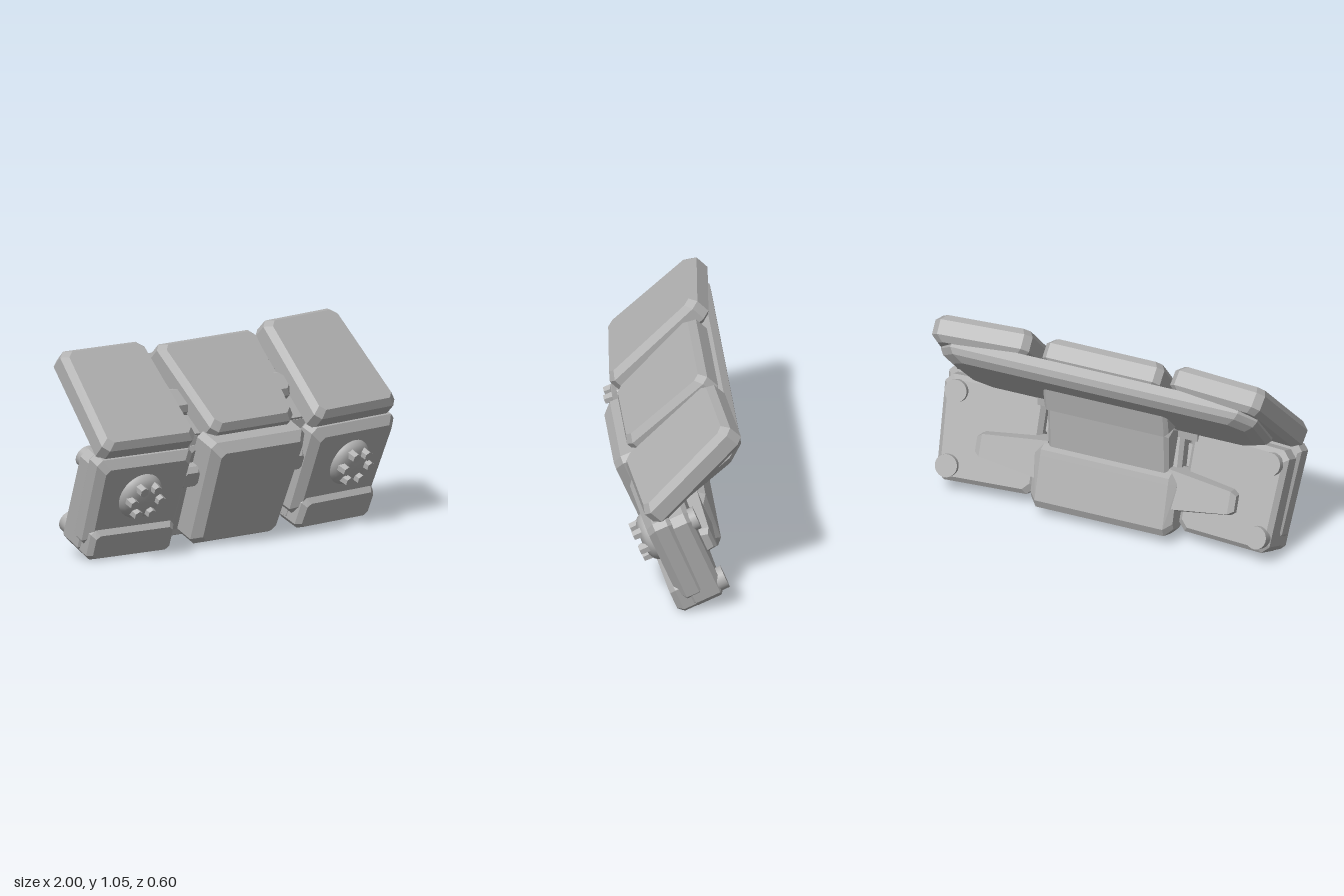
import * as THREE from 'three';
import { ConvexGeometry } from 'three/addons/geometries/ConvexGeometry.js';

const grey = new THREE.MeshStandardMaterial({ color: 0xb0b0b0 });
grey.name = 'plain grey';

const LOWER_TILT = THREE.MathUtils.degToRad(22);
const UPPER_TILT = THREE.MathUtils.degToRad(-45);
const YAW = THREE.MathUtils.degToRad(5);

function add(parent, name, geometry, x = 0, y = 0, z = 0) {
  const mesh = new THREE.Mesh(geometry, grey);
  mesh.name = name;
  mesh.position.set(x, y, z);
  parent.add(mesh);
  return mesh;
}

// Trapezoid outline with cut corners: bottom (y0) from a to b, top (y1) from c to d
function trapezoid(y0, y1, a, b, c, d, cut, side = 1) {
  const p = [[a, y0], [b, y0], [d, y1], [c, y1]];
  const out = [];
  p.forEach((q, i) => {
    for (const n of [p[(i + 3) % 4], p[(i + 1) % 4]]) {
      const t = cut / Math.hypot(n[0] - q[0], n[1] - q[1]);
      out.push([side * (q[0] + (n[0] - q[0]) * t), q[1] + (n[1] - q[1]) * t]);
    }
  });
  return out;
}

// Convex slab: outline repeated at each layer [z, inset]
function slab(outline, layers) {
  const xs = outline.map((p) => p[0]), ys = outline.map((p) => p[1]);
  const x0 = Math.min(...xs), x1 = Math.max(...xs), y0 = Math.min(...ys), y1 = Math.max(...ys);
  const cx = (x0 + x1) / 2, cy = (y0 + y1) / 2;
  const pts = [];
  for (const [z, inset] of layers) {
    const sx = 1 - (2 * inset) / (x1 - x0), sy = 1 - (2 * inset) / (y1 - y0);
    for (const [x, y] of outline) pts.push(new THREE.Vector3(cx + (x - cx) * sx, cy + (y - cy) * sy, z));
  }
  return new ConvexGeometry(pts);
}

// Solid running across x from a convex side profile of [z, y] points
function crossPiece(profile, halfWidth, bevel) {
  const geometry = slab(profile, [[-halfWidth, bevel], [-halfWidth + bevel, 0], [halfWidth - bevel, 0], [halfWidth, bevel]]);
  return geometry.rotateY(-Math.PI / 2);
}

// A group leaning about the x axis
function leaning(parent, name, angle) {
  const g = new THREE.Group();
  g.name = name;
  g.rotation.x = angle;
  parent.add(g);
  return g;
}

function lowerSide(parent, s) {
  const g = leaning(parent, 'lowerSideBlock', LOWER_TILT);
  add(g, 'rearCase', slab(trapezoid(0.01, 0.56, -0.27, 0.26, -0.28, 0.28, 0.04, s),
    [[-0.21, 0.025], [-0.185, 0], [-0.05, 0], [-0.02, 0.03]]));
  add(g, 'frontCase', slab(trapezoid(0.08, 0.59, -0.295, 0.27, -0.305, 0.295, 0.03, s),
    [[-0.11, 0.015], [-0.09, 0], [-0.02, 0], [0.02, 0.04]]));
  add(g, 'bumper', slab(trapezoid(0.015, 0.19, -0.27, 0.25, -0.265, 0.255, 0.025, s),
    [[-0.12, 0.02], [-0.1, 0], [0.02, 0], [0.05, 0.02]]));

  // Domed hub with a ring of hexagonal bolts
  const dome = [[0.13, -0.01], [0.128, 0.012], [0.115, 0.035], [0.09, 0.052], [0.05, 0.06], [0, 0.062]];
  add(g, 'dome', new THREE.LatheGeometry(dome.map((p) => new THREE.Vector2(...p)), 32).rotateX(Math.PI / 2), 0, 0.37, 0.015);
  for (let i = 0; i < 6; i++) {
    const a = (i * Math.PI) / 3;
    add(g, 'bolt', new THREE.CylinderGeometry(0.026, 0.03, 0.06, 6).toNonIndexed().rotateX(Math.PI / 2),
      0.085 * Math.cos(a), 0.37 + 0.08 * Math.sin(a), 0.073).geometry.computeVertexNormals();
  }

  // Round feet at the outer rear corners
  for (const y of [0.48, 0.09]) {
    add(g, 'rearDisc', new THREE.CylinderGeometry(0.06, 0.06, 0.08, 24).rotateX(Math.PI / 2), s * 0.2, y, -0.2);
  }
}

function upperSide(parent, s) {
  const g = leaning(parent, 'upperSidePanel', UPPER_TILT);
  add(g, 'panel', slab(trapezoid(0.26, 0.895, -0.31, 0.28, -0.27, 0.255, 0.035, s),
    [[0.485, 0.035], [0.515, 0], [0.595, 0], [0.63, 0.03]]));
}

export function createModel() {
  const model = new THREE.Group();
  model.name = 'panelAssembly';

  // Mirrored side units, swept slightly back
  for (const s of [1, -1]) {
    const unit = new THREE.Group();
    unit.name = s > 0 ? 'leftUnit' : 'rightUnit';
    unit.position.x = s * 0.69;
    unit.rotation.y = s * YAW;
    model.add(unit);
    lowerSide(unit, s);
    upperSide(unit, s);
  }

  // Lower middle
  const lower = leaning(model, 'lowerMiddle', LOWER_TILT);
  add(lower, 'frontBlock', slab(trapezoid(0.03, 0.635, -0.28, 0.28, -0.315, 0.315, 0.03),
    [[-0.1, 0.02], [-0.08, 0], [0.04, 0], [0.09, 0.04]]));
  add(lower, 'innerFrame', slab(trapezoid(0.01, 0.55, -0.4, 0.4, -0.37, 0.37, 0.04),
    [[-0.2, 0.02], [-0.18, 0], [-0.09, 0], [-0.07, 0.02]]));
  for (const s of [1, -1]) {
    add(lower, 'lowerLink', slab(trapezoid(0.34, 0.46, 0.28, 0.42, 0.28, 0.42, 0.02, s), [[-0.12, 0], [-0.03, 0], [0, 0.02]]));
    // Tapered rear arm reaching out over the side block
    const arm = [];
    for (const [x, y0, y1, back] of [[0.34, 0.1, 0.35, -0.25], [0.7, 0.15, 0.31, -0.265], [0.73, 0.17, 0.29, -0.25]]) {
      for (const y of [y0, y1]) {
        arm.push(new THREE.Vector3(s * x, y, -0.15), new THREE.Vector3(s * x, y + (y === y0 ? 0.02 : -0.02), back));
      }
    }
    add(lower, 'rearArm', new ConvexGeometry(arm));
  }

  // Rear block and neck that carry the upper plate
  add(model, 'rearBlock', crossPiece([[-0.12, 0.03], [-0.22, 0.065], [-0.235, 0.11], [-0.165, 0.34],
    [-0.155, 0.37], [-0.1, 0.39], [0.02, 0.36], [-0.05, 0.05]], 0.4, 0.04));
  add(model, 'neckLower', crossPiece([[-0.125, 0.34], [-0.13, 0.6], [-0.06, 0.62], [0.06, 0.56], [0, 0.32]], 0.34, 0.02));
  add(model, 'neckUpper', crossPiece([[-0.15, 0.61], [-0.17, 0.76], [-0.05, 0.74], [0.04, 0.6]], 0.35, 0.02));
  add(model, 'hingeBar', new THREE.BoxGeometry(0.9, 0.06, 0.12), 0, 0.56, 0.06);

  // Upper middle
  const upper = leaning(model, 'upperMiddle', UPPER_TILT);
  add(upper, 'backPlate', slab(trapezoid(0.33, 0.87, -0.85, 0.85, -0.9, 0.9, 0.09),
    [[0.405, 0.07], [0.43, 0.02], [0.46, 0], [0.51, 0.01]]));
  add(upper, 'panel', slab(trapezoid(0.27, 0.845, -0.275, 0.275, -0.335, 0.335, 0.035),
    [[0.5, 0.03], [0.525, 0], [0.605, 0], [0.64, 0.03]]));
  for (const s of [1, -1]) {
    add(upper, 'upperLink', slab(trapezoid(0.46, 0.61, 0.25, 0.42, 0.25, 0.42, 0.03, s), [[0.49, 0], [0.54, 0], [0.57, 0.025]]));
  }
  return model;
}
